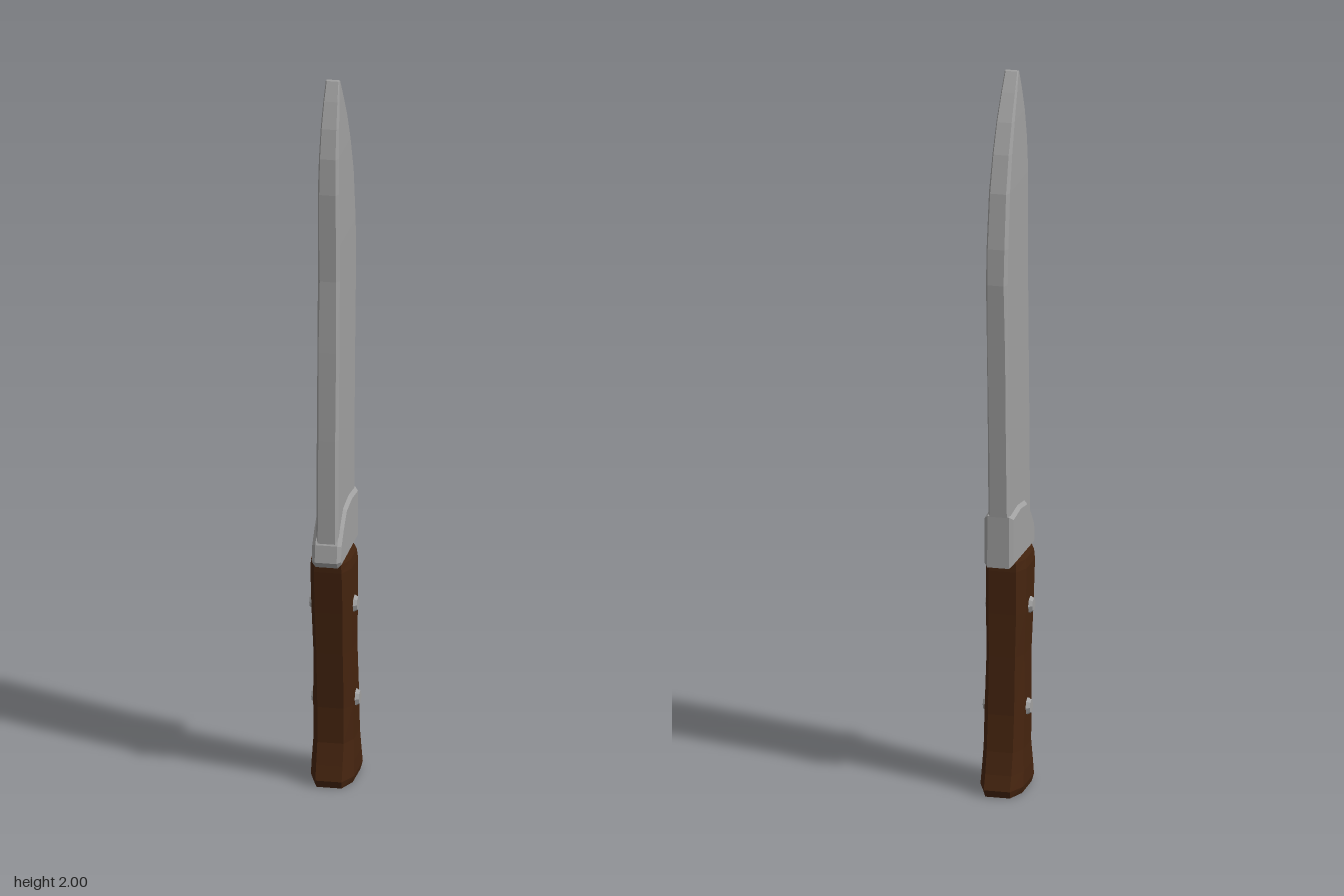
import * as THREE from 'three';

const steel = new THREE.MeshStandardMaterial({ color: 0xa0a0a0, flatShading: true });
steel.name = 'steel';
const wood = new THREE.MeshStandardMaterial({ color: 0x45240f, flatShading: true });
wood.name = 'darkWood';

// Lofts chamfered sections upward. Row: [y, back z, front z, half width, edge half width, chamfer depth]
function loft(rows) {
  const pos = [], index = [], n = 8;
  for (const [y, b, f, w, e, c] of rows) {
    const ring = [[e, f], [w, f - c], [w, b + c], [e, b], [-e, b], [-w, b + c], [-w, f - c], [-e, f]];
    for (const [x, z] of ring) pos.push(x, y, z);
  }
  for (let r = 0; r < rows.length - 1; r++) {
    for (let i = 0; i < n; i++) {
      const a = r * n + i, b = r * n + (i + 1) % n;
      index.push(a, b, b + n, a, b + n, a + n);
    }
  }
  // End caps
  const top = (rows.length - 1) * n;
  for (let i = 1; i < n - 1; i++) {
    index.push(0, i + 1, i);
    index.push(top, top + i, top + i + 1);
  }
  const g = new THREE.BufferGeometry();
  g.setAttribute('position', new THREE.Float32BufferAttribute(pos, 3));
  g.setIndex(index);
  const flat = g.toNonIndexed();
  flat.computeVertexNormals();
  return flat;
}

function add(group, name, geometry, material) {
  const mesh = new THREE.Mesh(geometry, material);
  mesh.name = name;
  group.add(mesh);
  return mesh;
}

export function createModel() {
  const group = new THREE.Group();
  group.name = 'knife';

  // Blade: thick slab with worn chamfers, curved back and pointed tip
  add(group, 'blade', loft([
    [0.66, -0.105, 0.13, 0.031, 0.024, 0.014],
    [1.0, -0.118, 0.125, 0.03, 0.023, 0.014],
    [1.25, -0.13, 0.118, 0.03, 0.024, 0.016],
    [1.45, -0.139, 0.11, 0.03, 0.022, 0.014],
    [1.55, -0.134, 0.113, 0.03, 0.023, 0.016],
    [1.7, -0.112, 0.118, 0.029, 0.022, 0.016],
    [1.8, -0.08, 0.112, 0.027, 0.021, 0.016],
    [1.88, -0.043, 0.095, 0.025, 0.02, 0.014],
    [1.95, 0.0, 0.07, 0.022, 0.018, 0.01],
    [2.0, 0.034, 0.046, 0.019, 0.016, 0.003],
  ]), steel);

  // Bolster: slanted collar between blade and handle
  const outline = new THREE.Shape([
    [0.122, 0.65], [0.13, 0.66], [0.123, 0.7], [0.09, 0.74], [0.05, 0.777],
    [-0.02, 0.787], [-0.1, 0.78], [-0.102, 0.655],
  ].map(([z, y]) => new THREE.Vector2(z, y)));
  const collar = new THREE.ExtrudeGeometry(outline, {
    depth: 0.06, bevelEnabled: true, bevelSize: 0.01, bevelThickness: 0.01, bevelSegments: 1,
  });
  collar.translate(0, 0, -0.03).rotateY(-Math.PI / 2);
  add(group, 'bolster', collar, steel);

  // Handle: faceted grip flaring at the butt
  add(group, 'handle', loft([
    [0.0, -0.118, 0.095, 0.054, 0.034, 0.055],
    [0.02, -0.126, 0.102, 0.059, 0.036, 0.055],
    [0.06, -0.11, 0.09, 0.058, 0.036, 0.05],
    [0.12, -0.094, 0.074, 0.055, 0.036, 0.042],
    [0.22, -0.08, 0.073, 0.055, 0.036, 0.038],
    [0.38, -0.07, 0.087, 0.052, 0.036, 0.038],
    [0.5, -0.066, 0.099, 0.055, 0.038, 0.04],
    [0.62, -0.064, 0.112, 0.056, 0.038, 0.042],
    [0.645, -0.062, 0.113, 0.053, 0.036, 0.042],
  ]), wood);

  // Rivets: domed pins showing on both sides
  for (const [y, z] of [[0.505, 0.022], [0.227, -0.005]]) {
    for (const side of [-1, 1]) {
      const rivet = add(group, 'rivet', new THREE.CylinderGeometry(0.018, 0.028, 0.016, 8), steel);
      rivet.rotation.z = -side * Math.PI / 2;
      rivet.position.set(side * 0.057, y, z);
    }
  }
  return group;
}
